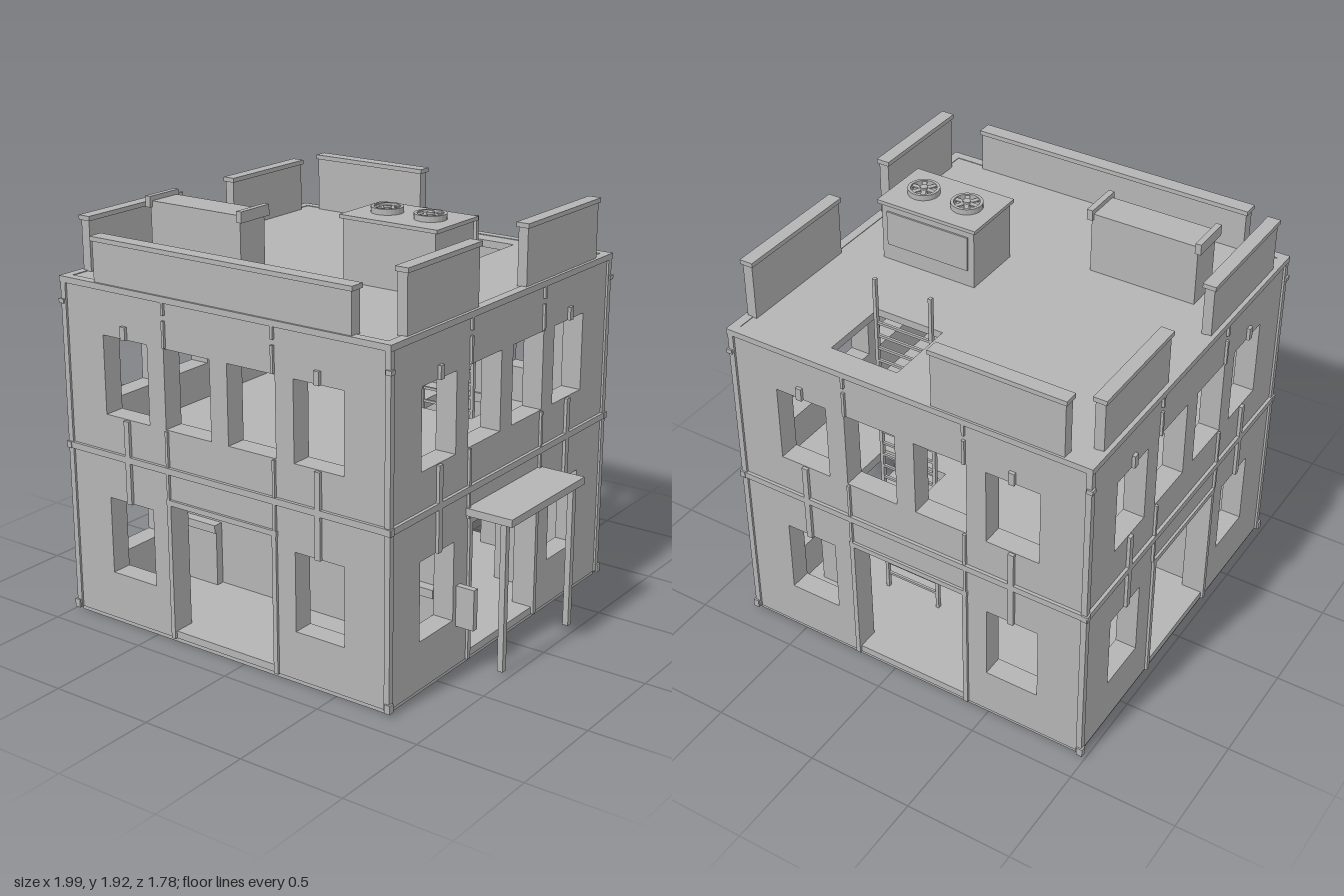
import * as THREE from 'three';

const CX = -0.1;      // centre of the building block in x
const HALF = 0.872;   // half width of the block
const THICK = 0.1;    // wall thickness

export function createModel() {
  const model = new THREE.Group();
  const grey = new THREE.MeshStandardMaterial({ color: 0xb4b4b4 });
  grey.name = 'plain grey';

  const add = (name, geo, parent = model) => {
    const mesh = new THREE.Mesh(geo, grey);
    mesh.name = name;
    parent.add(mesh);
    return mesh;
  };
  // Box given by its limits
  const box = (name, x0, x1, y0, y1, z0, z1, parent = model) => {
    const mesh = add(name, new THREE.BoxGeometry(x1 - x0, y1 - y0, z1 - z0), parent);
    mesh.position.set((x0 + x1) / 2, (y0 + y1) / 2, (z0 + z1) / 2);
    return mesh;
  };
  const rect = (Kind, x0, x1, y0, y1) => {
    const s = new Kind();
    s.moveTo(x0, y0);
    s.lineTo(x1, y0);
    s.lineTo(x1, y1);
    s.lineTo(x0, y1);
    s.closePath();
    return s;
  };

  // One facade, built facing +z and turned into place
  function facade(name, turn, halfLength, doorHalf) {
    const g = new THREE.Group();
    g.name = name;
    const wall = rect(THREE.Shape, -halfLength, halfLength, 0.02, 1.58);
    for (const u of [-0.522, -0.174, 0.174, 0.522])
      wall.holes.push(rect(THREE.Path, u - 0.127, u + 0.127, 1.005, 1.37));
    for (const u of [-0.522, 0.522])
      wall.holes.push(rect(THREE.Path, u - 0.127, u + 0.127, 0.245, 0.61));
    wall.holes.push(rect(THREE.Path, -doorHalf, doorHalf, 0.055, 0.66));
    add('wall', new THREE.ExtrudeGeometry(wall, { depth: THICK, bevelEnabled: false }), g)
      .position.z = HALF - THICK;

    const F = HALF;
    box('storeyBand', -0.89, 0.89, 0.805, 0.835, F - 0.01, F + 0.015, g);
    box('cornice', -0.885, 0.885, 1.575, 1.603, F - 0.03, F + 0.013, g);
    box('doorLintel', -doorHalf - 0.025, doorHalf + 0.025, 0.66, 0.685, F - 0.01, F + 0.012, g);
    for (const s of [-1, 1]) {
      const span = (a, b) => (s > 0 ? [a, b] : [-b, -a]);
      box('doorJamb', ...span(doorHalf, doorHalf + 0.022), 0.02, 0.66, F - 0.01, F + 0.012, g);
      // Narrow ribs between the bays
      box('rib', ...span(0.287, 0.3), 0.685, 1.0, F - 0.005, F + 0.012, g);
      box('rib', ...span(0.287, 0.3), 1.375, 1.495, F - 0.005, F + 0.012, g);
      box('rib', ...span(0.287, 0.3), 1.52, 1.578, F - 0.005, F + 0.012, g);
      // Strips above the outer windows
      box('windowStrip', ...span(0.508, 0.536), 0.61, 1.0, F - 0.005, F + 0.015, g);
      box('windowStrip', ...span(0.508, 0.536), 1.37, 1.43, F - 0.005, F + 0.015, g);
      // Corner trim and its blocks
      box('cornerTrim', ...span(0.855, 0.882), 0.02, 1.575, F - 0.01, F + 0.01, g);
      box('cornerBlock', ...span(0.865, 0.89), 0.015, 0.055, F - 0.01, F + 0.018, g);
      box('cornerBlock', ...span(0.865, 0.89), 1.48, 1.5, F - 0.01, F + 0.018, g);
    }
    g.position.x = CX;
    g.rotation.y = turn;
    model.add(g);
  }
  facade('frontFacade', 0, HALF, 0.28);
  facade('backFacade', Math.PI, HALF, 0.28);
  facade('rightFacade', Math.PI / 2, HALF - THICK, 0.267);
  facade('leftFacade', -Math.PI / 2, HALF - THICK, 0.267);

  // Base, ground floor, and two slabs with a ladder opening
  box('base', CX - 0.865, CX + 0.865, 0, 0.02, -0.865, 0.865);
  box('groundFloor', CX - 0.86, CX + 0.86, 0.02, 0.055, -0.86, 0.86);
  for (const [name, y, t] of [['upperFloor', 0.79, 0.045], ['roof', 1.565, 0.035]]) {
    const s = rect(THREE.Shape, CX - 0.868, CX + 0.868, -0.868, 0.868);
    s.holes.push(rect(THREE.Path, 0, 0.33, 0.425, 0.76));
    const m = add(name, new THREE.ExtrudeGeometry(s, { depth: t, bevelEnabled: false }));
    m.rotation.x = -Math.PI / 2;
    m.position.y = y;
  }

  // Ground floor partition with a narrow gap, counters and a crate
  box('partition', CX - 0.78, -0.14, 0.055, 0.79, 0.31, 0.35);
  box('partition', -0.06, CX + 0.78, 0.055, 0.79, 0.31, 0.35);
  for (const s of [-1, 1]) {
    const c = CX + s * 0.61;
    box('counterTop', c - 0.16, c + 0.16, 0.32, 0.36, 0.35, 0.4);
    box('counterBody', c - 0.16, c + 0.16, 0.055, 0.32, 0.35, 0.39);
  }
  box('crate', 0.46, 0.6, 0.055, 0.4, -0.59, -0.45);

  // Ladder through both openings
  const ladder = new THREE.Group();
  ladder.name = 'ladder';
  model.add(ladder);
  for (const x of [0.025, 0.305])
    box('ladderRail', x - 0.008, x + 0.008, 0.055, 1.79, -0.48, -0.462, ladder);
  for (let i = 0; i < 23; i++) {
    const y = 0.14 + i * 0.065;
    box('ladderRung', 0.03, 0.3, y - 0.006, y + 0.006, -0.477, -0.465, ladder);
  }

  // Parapet pieces with caps
  for (const [x0, x1, z0, z1, top] of [
    [-0.785, 0.59, 0.82, 0.875, 1.8], [-0.855, -0.24, -0.875, -0.825, 1.87],
    [-0.965, -0.92, -0.765, -0.235, 1.845], [-0.965, -0.92, 0.145, 0.75, 1.845],
    [0.723, 0.77, -0.755, -0.145, 1.875], [0.723, 0.77, 0.235, 0.755, 1.875],
  ]) {
    box('parapet', x0, x1, 1.59, top - 0.012, z0, z1);
    box('parapetCap', x0 - 0.008, x1 + 0.008, top - 0.015, top + 0.006, z0 - 0.008, z1 + 0.008);
  }

  // Roof ventilation unit with two fans
  box('ventUnit', 0.07, 0.545, 1.59, 1.88, -0.07, 0.225);
  box('ventLid', 0.057, 0.56, 1.878, 1.895, -0.083, 0.235);
  box('ventPanel', 0.1, 0.515, 1.68, 1.845, -0.078, -0.07);
  for (const x of [0.197, 0.42]) {
    const fan = new THREE.Group();
    fan.name = 'fan';
    fan.position.set(x, 1.895, 0.075);
    model.add(fan);
    const ring = add('fanRing', new THREE.LatheGeometry([
      [0.058, 0], [0.072, 0], [0.072, 0.026], [0.058, 0.026], [0.058, 0],
    ].map(([r, y]) => new THREE.Vector2(r, y)), 24), fan);
    ring.geometry = ring.geometry.toNonIndexed();
    ring.geometry.computeVertexNormals();
    add('fanHub', new THREE.CylinderGeometry(0.018, 0.018, 0.03, 12), fan).position.y = 0.015;
    for (let i = 0; i < 3; i++) {
      const blade = add('fanBlade', new THREE.BoxGeometry(0.12, 0.006, 0.022), fan);
      blade.position.y = 0.018;
      blade.rotation.y = (i * Math.PI) / 3;
    }
  }

  // Roof housing with raised ends
  box('roofHousing', -0.795, -0.285, 1.59, 1.888, 0.32, 0.485);
  for (const x of [-0.8, -0.28])
    box('housingEnd', x - 0.014, x + 0.014, 1.86, 1.91, 0.308, 0.5);

  // Side door canopy on posts
  box('canopy', 0.77, 1.0, 0.7, 0.735, -0.308, 0.305);
  for (const z of [-0.28, 0.283])
    box('canopyPost', 0.94, 0.968, 0.015, 0.7, z - 0.014, z + 0.014);

  // Wall box beside the side door
  box('wallBox', 0.77, 0.862, 0.21, 0.4, 0.342, 0.372);
  return model;
}
